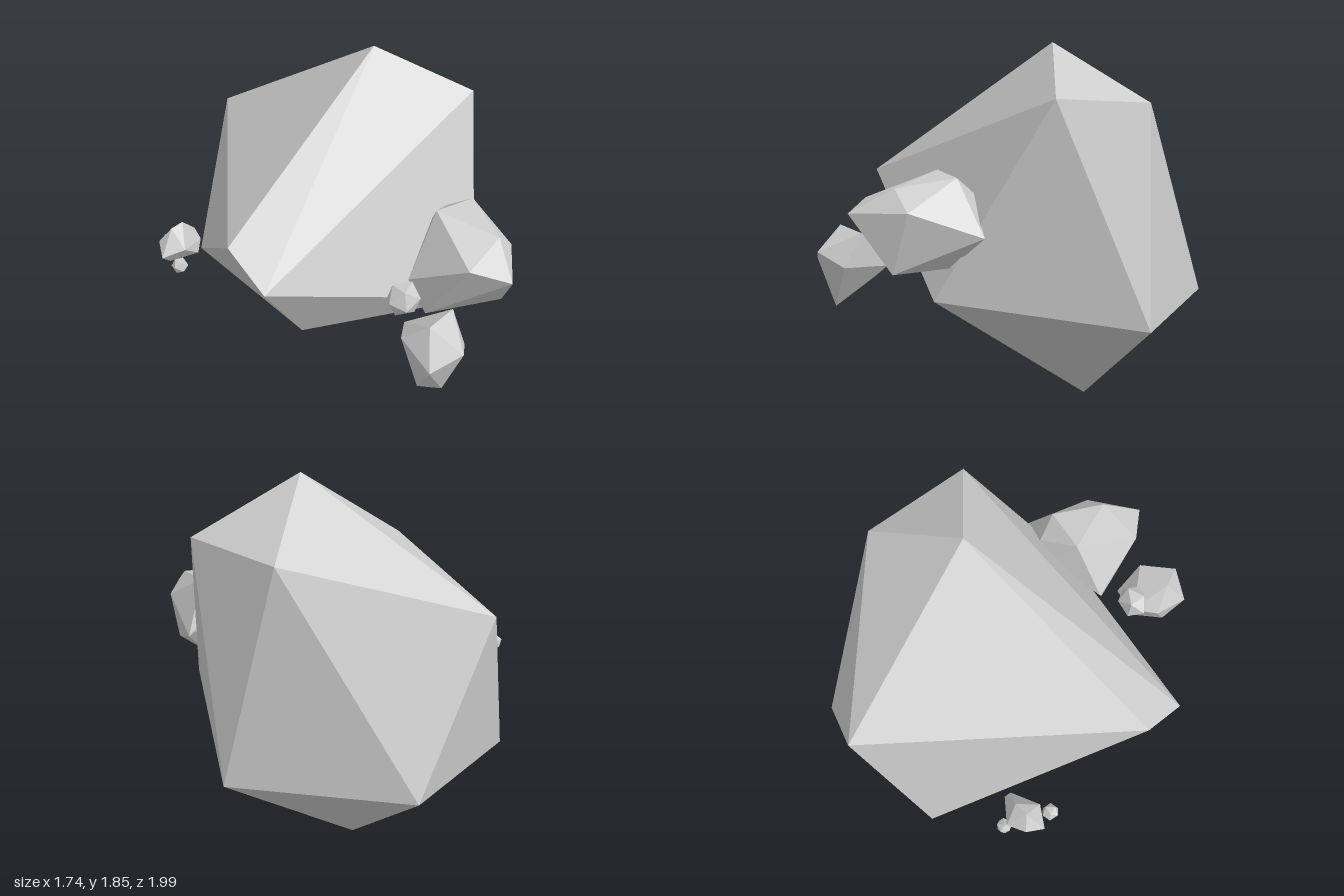
import * as THREE from 'three';
import { ConvexGeometry } from 'three/addons/geometries/ConvexGeometry.js';

const material = new THREE.MeshStandardMaterial({ color: 0xcccccc, flatShading: true });

function addMesh(parent, name, geometry) {
  const mesh = new THREE.Mesh(geometry, material);
  mesh.name = name;
  parent.add(mesh);
}

// Distorted icosahedron: top point, upper ring of 5, lower ring of 5, bottom point
function boulderGeometry(top, upper, lower, bottom) {
  const pos = [];
  const face = (...corners) => corners.forEach((c) => pos.push(...c));
  for (let i = 0; i < 5; i++) {
    const j = (i + 1) % 5;
    face(top, upper[i], upper[j]);
    face(upper[i], lower[i], upper[j]);
    face(lower[i], lower[j], upper[j]);
    face(bottom, lower[j], lower[i]);
  }
  const geometry = new THREE.BufferGeometry();
  geometry.setAttribute('position', new THREE.Float32BufferAttribute(pos, 3));
  geometry.computeVertexNormals();
  return geometry;
}

// Faceted stone spanned by its corner points
const stoneGeometry = (points) => new ConvexGeometry(points.map((p) => new THREE.Vector3(...p)));

// Small chip: an icosahedron stretched to half sizes and turned
function chipGeometry(center, half, turn) {
  return new THREE.IcosahedronGeometry(1, 0)
    .rotateX(turn).rotateY(turn * 2)
    .scale(...half)
    .translate(...center);
}

export function createModel() {
  const group = new THREE.Group();
  group.name = 'floatingRocks';

  // Main boulder
  addMesh(group, 'boulder', boulderGeometry(
    [0.25, 1.85, -0.12],
    [[0.7, 1.58, 0.12], [0.65, 1.56, -0.42], [-0.13, 1.3, -0.98], [-0.78, 1.31, 0.23], [-0.74, 1.18, 0.46]],
    [[0.87, 0.53, -0.29], [0.34, 0.55, -1], [-0.47, 0.48, -0.82], [-0.47, 0.71, 0.31], [0.41, 0.67, 0.58]],
    [0.15, 0, -0.39],
  ));

  // Large stone set into the front face
  addMesh(group, 'largeStone', stoneGeometry([
    [0.2, 1.25, 0.47], [0.43, 1.23, 0.47], [0.57, 0.97, 0.4], [0.4, 0.81, 0.77],
    [0.07, 0.75, 0.59], [0.13, 1.13, 0.8], [0.28, 1.08, 0.93], [0.47, 1.09, 0.72],
    [0.36, 1.19, 0.74], [0.01, 0.95, 0.52], [0.37, 1.15, 0.36], [0.27, 1.1, 0.36], [0.42, 0.82, 0.5],
  ]));

  // Medium stone in front, with a chip behind it
  addMesh(group, 'mediumStone', stoneGeometry([
    [-0.13, 0.97, 0.85], [0.05, 0.95, 0.8], [-0.04, 0.86, 0.99], [-0.21, 0.87, 0.75],
    [-0.2, 0.8, 0.95], [0.06, 0.79, 0.89], [0.04, 0.78, 0.67], [-0.07, 0.58, 0.9],
    [-0.18, 0.62, 0.85], [-0.12, 0.85, 0.66], [-0.1, 0.7, 0.69],
  ]));
  addMesh(group, 'mediumStoneChip', chipGeometry([-0.115, 0.98, 0.64], [0.09, 0.09, 0.08], 0.3));

  // Small stone at the side, with two chips
  addMesh(group, 'smallStone', stoneGeometry([
    [-0.87, 0.89, -0.37], [-0.78, 1.01, -0.42], [-0.71, 1.01, -0.44], [-0.84, 0.93, -0.46],
    [-0.76, 0.9, -0.52], [-0.64, 0.93, -0.46], [-0.63, 0.88, -0.42], [-0.67, 0.83, -0.38],
    [-0.76, 0.92, -0.33], [-0.82, 0.83, -0.4], [-0.68, 0.84, -0.46],
  ]));
  addMesh(group, 'smallStoneFrontChip', chipGeometry([-0.81, 0.865, -0.3], [0.042, 0.042, 0.045], 0.5));
  addMesh(group, 'smallStoneBackChip', chipGeometry([-0.75, 0.86, -0.53], [0.04, 0.045, 0.04], 0.9));

  return group;
}
